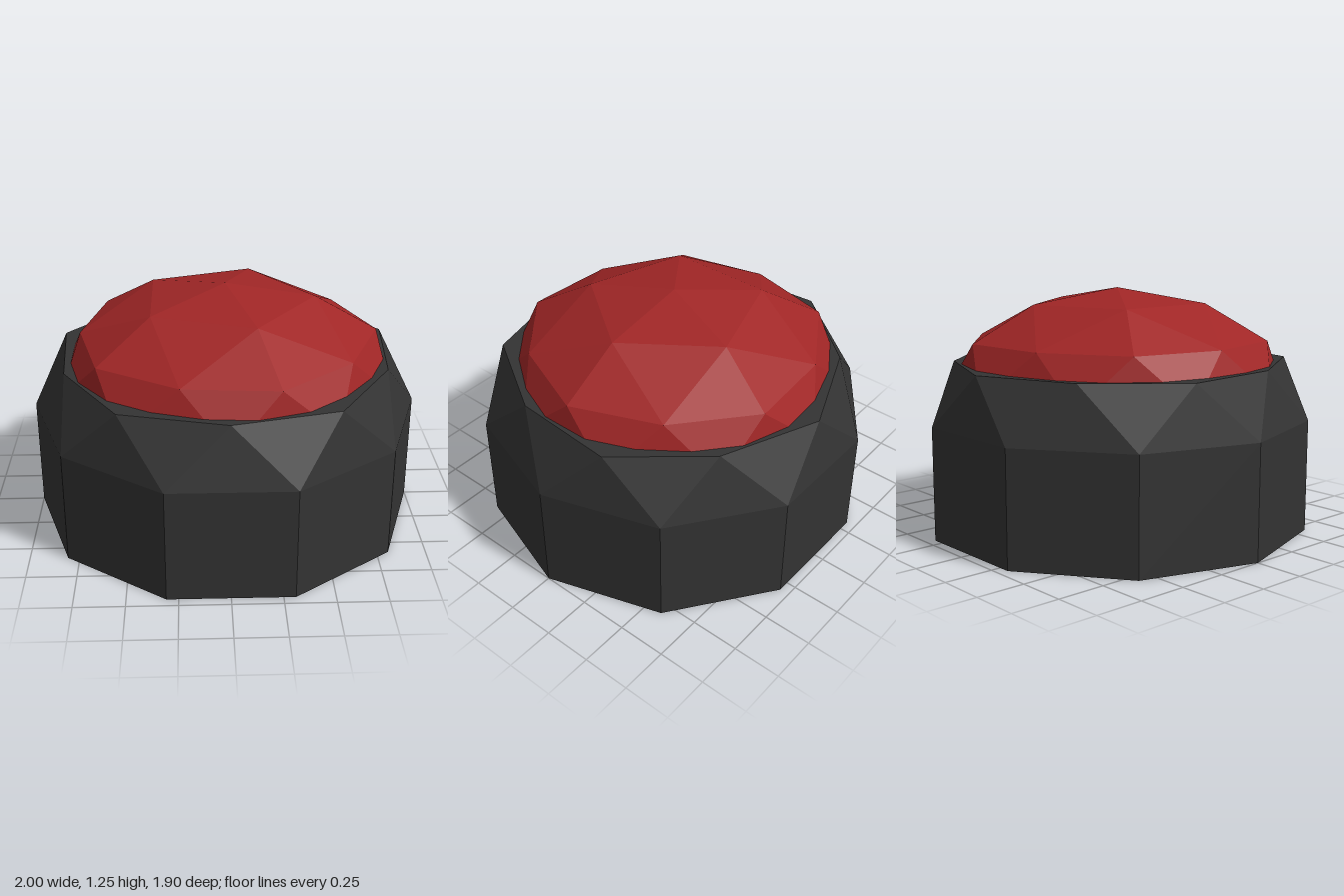
import * as THREE from 'three';

const STEP = Math.PI / 5; // every ring has ten sides

// Ten points at height y; even and odd points may differ in radius.
function ring(y, evenR, oddR = evenR, offset = 0) {
  return Array.from({ length: 10 }, (_, i) => {
    const a = (i + offset) * STEP;
    const r = i % 2 ? oddR : evenR;
    return new THREE.Vector3(r * Math.cos(a), y, r * Math.sin(a));
  });
}

// Band of alternating triangles; the upper ring is turned half a step by 'shift'.
function zigzag(low, high, shift) {
  const tris = [];
  for (let i = 0; i < 10; i++) {
    const n = (i + 1) % 10;
    if (shift > 0) tris.push([low[i], high[i], low[n]], [high[i], high[n], low[n]]);
    else tris.push([low[i], high[n], low[n]], [low[i], high[i], high[n]]);
  }
  return tris;
}

function facetedMesh(name, tris, material) {
  const geometry = new THREE.BufferGeometry().setFromPoints(tris.flat());
  geometry.computeVertexNormals(); // unshared corners give flat facets
  const mesh = new THREE.Mesh(geometry, material);
  mesh.name = name;
  return mesh;
}

export function createModel() {
  const group = new THREE.Group();
  group.name = 'pushButton';
  const charcoal = new THREE.MeshStandardMaterial({ color: 0x333333, side: THREE.DoubleSide, flatShading: true });
  charcoal.name = 'charcoal';
  const red = new THREE.MeshStandardMaterial({ color: 0xa02626, side: THREE.DoubleSide, flatShading: true });
  red.name = 'red';

  // Housing: hollow ten-sided wall, open underneath
  const foot = ring(0, 1);
  const shoulder = ring(0.58, 1);
  const rim = ring(0.87, 0.851, 0.894, 0.5);
  const wall = [];
  for (let i = 0; i < 10; i++) {
    const n = (i + 1) % 10;
    wall.push([foot[i], shoulder[i], foot[n]], [shoulder[i], shoulder[n], foot[n]]);
  }
  group.add(facetedMesh('housingWall', wall, charcoal));

  // Faceted shoulder and flat top plate
  group.add(facetedMesh('housingShoulder', zigzag(shoulder, rim, 1), charcoal));
  const centre = new THREE.Vector3(0, 0.87, 0);
  group.add(facetedMesh('housingTop', rim.map((p, i) => [centre, rim[(i + 1) % 10], p]), charcoal));

  // Button: flattened geodesic dome whose lower edge sits inside the housing
  const base = ring(0.745, 0.875, 0.875, 0.5);
  const middle = ring(0.985, 0.782, 0.745);
  const upper = ring(1.17, 0.46);
  const pole = new THREE.Vector3(0, 1.245, 0);
  const dome = zigzag(base, middle, -1);
  for (let k = 0; k < 10; k += 2) {
    const next = (k + 2) % 10;
    const before = (k + 9) % 10;
    dome.push(
      [pole, upper[next], upper[k]],
      [upper[k], upper[next], middle[k + 1]],
      [upper[k], middle[k + 1], middle[k]],
      [upper[k], middle[k], middle[before]]
    );
  }
  group.add(facetedMesh('buttonDome', dome, red));
  return group;
}
